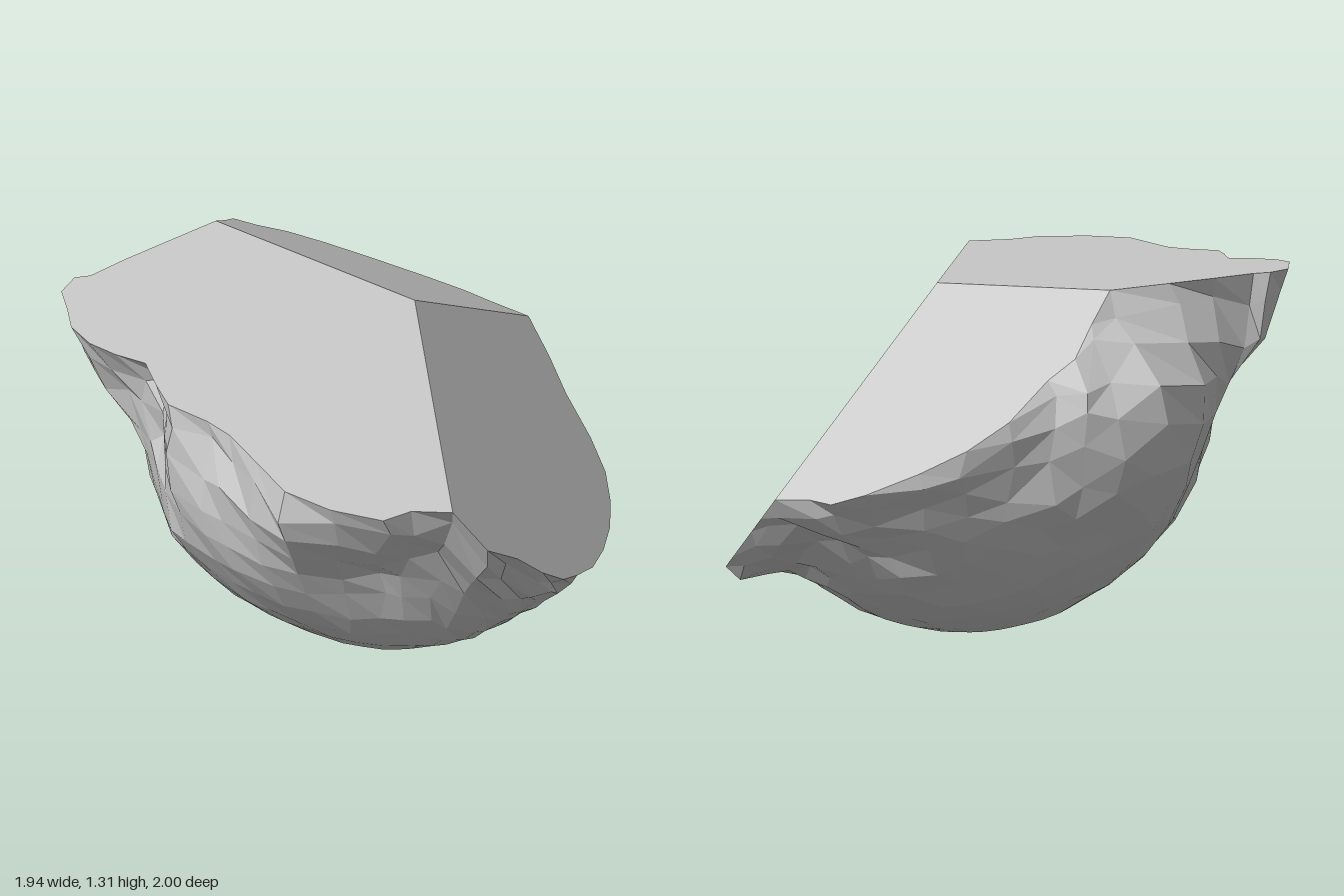
import * as THREE from 'three';

// Apex where the three flat cuts meet, and the far end of each ridge
const APEX = new THREE.Vector3(0.04, 1.21, -0.12);
const LEFT = new THREE.Vector3(-0.7, 1.31, 0.06);
const FRONT = new THREE.Vector3(0.89, 1.06, 0.65);
const BACK = new THREE.Vector3(-0.22, 0.64, -1);

// Ragged outline of the cuts seen from above (x, z), clockwise from the back ridge
const OUTLINE = [
  [-0.22, -1], [-0.1, -0.97], [0.02, -0.92], [0.15, -0.9], [0.26, -0.85], [0.38, -0.74], [0.5, -0.6],
  [0.62, -0.43], [0.73, -0.25], [0.81, -0.08], [0.87, 0.06], [0.9, 0.2], [0.91, 0.34], [0.96, 0.55],
  [0.89, 0.65], [0.79, 0.75], [0.76, 0.86], [0.6, 0.95], [0.43, 0.99], [0.25, 0.94], [0.1, 0.9],
  [0, 0.9], [-0.15, 0.93], [-0.25, 0.88], [-0.35, 0.82], [-0.45, 0.86], [-0.55, 0.88], [-0.65, 0.86],
  [-0.72, 0.8], [-0.8, 0.74], [-0.82, 0.65], [-0.79, 0.6], [-0.77, 0.45], [-0.74, 0.28],
  [-0.7, 0.06], [-0.77, -0.07], [-0.85, -0.2], [-0.83, -0.3], [-0.85, -0.48], [-0.8, -0.62],
  [-0.7, -0.75], [-0.57, -0.88], [-0.47, -0.95], [-0.36, -0.96],
];
const CENTER = new THREE.Vector3(0, 0.95, 0);
const RADIUS = 0.95;
const RINGS = 12;

// Hollows and swellings of the shell: x, y, z, reach, height
const DENTS = [
  [-0.45, 1.05, 0.75, 0.28, -0.13],
  [-0.62, 0.7, 0.62, 0.35, -0.09],
  [0.62, 0.75, 0.64, 0.28, -0.08],
  [0.6, 0.4, 0.55, 0.3, -0.03],
  [0.25, 0.8, 0.92, 0.25, 0.015],
  [0, 0.28, 0.62, 0.4, -0.05],
  [-0.6, 0.35, 0.2, 0.35, -0.05],
  [-0.93, 1, 0.02, 0.32, 0.07],
];

function hash(i, j) {
  const s = Math.sin(i * 127.1 + j * 311.7) * 43758.5453;
  return s - Math.floor(s) - 0.5;
}

// Height of the flat cuts: the lowest of the three planes
function makeCutHeight() {
  const planes = [[LEFT, FRONT], [FRONT, BACK], [BACK, LEFT]].map(([a, b]) =>
    new THREE.Plane().setFromCoplanarPoints(APEX, a, b));
  return (x, z) => Math.min(...planes.map(({ normal: n, constant: c }) => -(n.x * x + n.z * z + c) / n.y));
}

function facetedMesh(name, points) {
  const geometry = new THREE.BufferGeometry().setFromPoints(points);
  geometry.computeVertexNormals();
  const mesh = new THREE.Mesh(geometry, new THREE.MeshStandardMaterial({ color: 0xcccccc, flatShading: true }));
  mesh.name = name;
  return mesh;
}

// Point of the rough shell below rim point p, from rim (ring 0) to foot (last ring)
function shellPoint(p, i, ring) {
  if (ring === 0) return p.clone();
  const t = Math.pow(ring / RINGS, 1.2);
  const s = new THREE.Spherical().setFromVector3(p.clone().sub(CENTER));
  const loose = ring < RINGS - 1 ? 1 - t : 0;
  s.phi = THREE.MathUtils.lerp(s.phi, Math.PI, t + hash(i, ring) * 0.04 * loose);
  s.theta += hash(i + 50, ring) * 0.06 * loose;
  // rim lips blend quickly into the round body
  s.radius = THREE.MathUtils.lerp(s.radius, RADIUS, THREE.MathUtils.smoothstep(t, 0, 0.28));
  const q = new THREE.Vector3().setFromSpherical(s).add(CENTER);
  if (ring === RINGS) return q;
  s.radius += hash(i + 9, ring + 30) * 0.05 * loose * loose - 0.01 * (1 - t);
  for (const [x, y, z, reach, height] of DENTS) {
    const d = Math.hypot(q.x - x, q.y - y, q.z - z) / reach;
    s.radius += height * Math.exp(-d * d);
  }
  return new THREE.Vector3().setFromSpherical(s).add(CENTER);
}

export function createModel() {
  const group = new THREE.Group();
  group.name = 'brokenRock';
  const cutHeight = makeCutHeight();
  const rim = OUTLINE.map(([x, z]) => new THREE.Vector3(x, cutHeight(x, z), z));
  const count = rim.length;

  // Three flat cuts, each a fan from the apex between two ridges
  const frontEnd = OUTLINE.findIndex(([x]) => x === FRONT.x);
  const leftEnd = OUTLINE.findIndex(([x, z]) => x === LEFT.x && z === LEFT.z);
  const cuts = [['rightCut', 0, frontEnd], ['topCut', frontEnd, leftEnd], ['backCut', leftEnd, count]];
  for (const [name, from, to] of cuts) {
    const points = [];
    for (let i = from; i < to; i++) points.push(APEX, rim[(i + 1) % count], rim[i]);
    group.add(facetedMesh(name, points));
  }

  // Rough rounded shell from the rim down to the foot
  const rows = [];
  for (let ring = 0; ring <= RINGS; ring++) rows.push(rim.map((p, i) => shellPoint(p, i, ring)));
  const shell = [];
  for (let r = 0; r < RINGS; r++) {
    for (let i = 0; i < count; i++) {
      const j = (i + 1) % count;
      shell.push(rows[r][i], rows[r][j], rows[r + 1][i]);
      if (r < RINGS - 1) shell.push(rows[r][j], rows[r + 1][j], rows[r + 1][i]);
    }
  }
  group.add(facetedMesh('roughShell', shell));
  return group;
}
